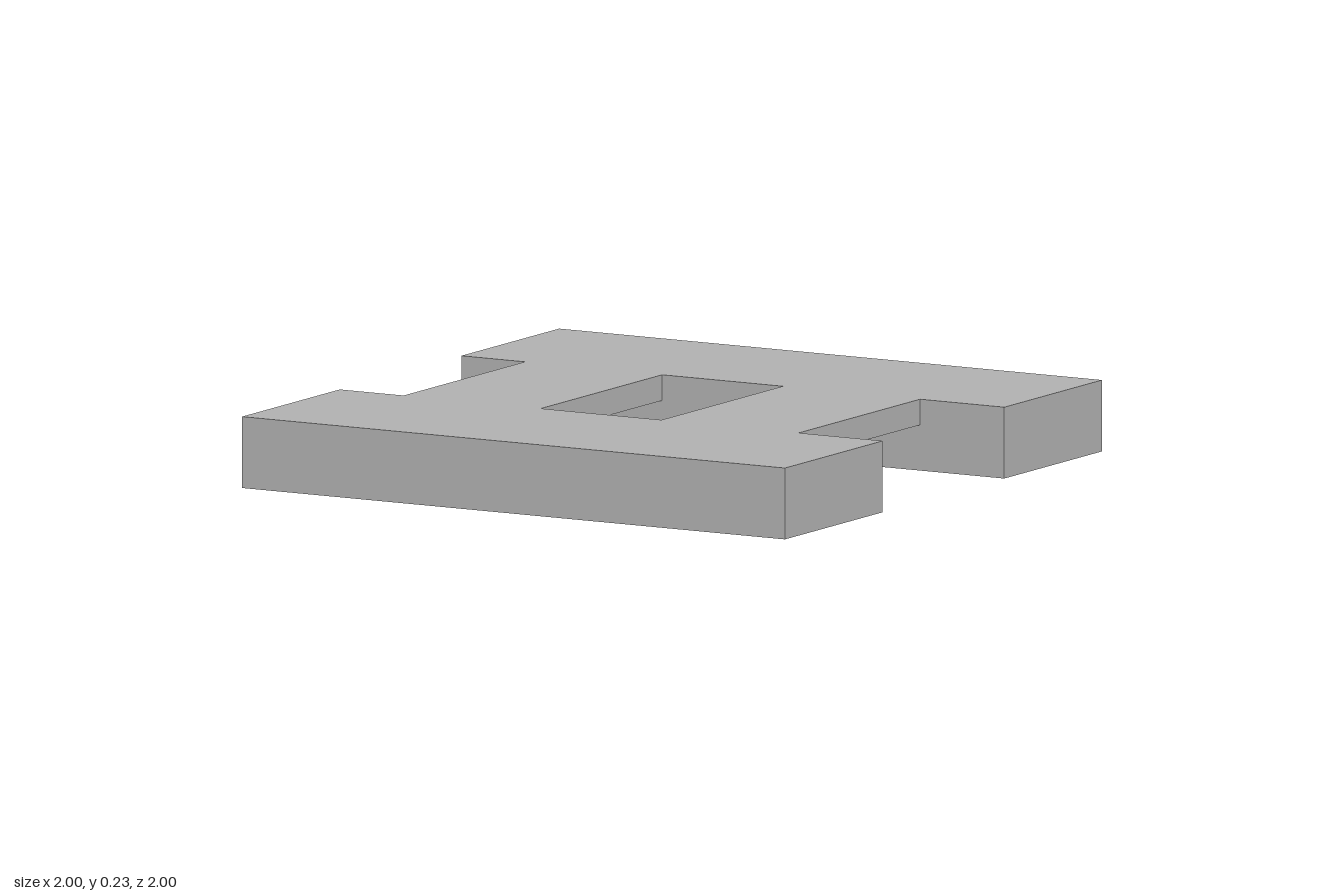
import * as THREE from 'three';

const HEIGHT = 0.23;      // overall height
const INNER = 0.383;      // inner edge of each bar along z
const WEB_BOTTOM = 0.147; // underside of the raised webs

export function createModel() {
  const group = new THREE.Group();
  group.name = 'plate';
  const grey = new THREE.MeshStandardMaterial({ color: 0xb0b0b0 });
  grey.name = 'grey';

  // Box given by its limits on each axis
  const addBlock = (name, [x0, x1], [y0, y1], [z0, z1]) => {
    const mesh = new THREE.Mesh(new THREE.BoxGeometry(x1 - x0, y1 - y0, z1 - z0), grey);
    mesh.position.set((x0 + x1) / 2, (y0 + y1) / 2, (z0 + z1) / 2);
    mesh.name = name;
    group.add(mesh);
  };

  // Full-height bars at front and back
  addBlock('frontBar', [-1, 1], [0, HEIGHT], [INNER, 1]);
  addBlock('backBar', [-1, 1], [0, HEIGHT], [-1, -INNER]);

  // Thin raised webs joining the bars, slightly off centre
  addBlock('rightWeb', [-0.765, -0.26], [WEB_BOTTOM, HEIGHT], [-INNER, INNER]);
  addBlock('leftWeb', [0.185, 0.69], [WEB_BOTTOM, HEIGHT], [-INNER, INNER]);

  return group;
}
